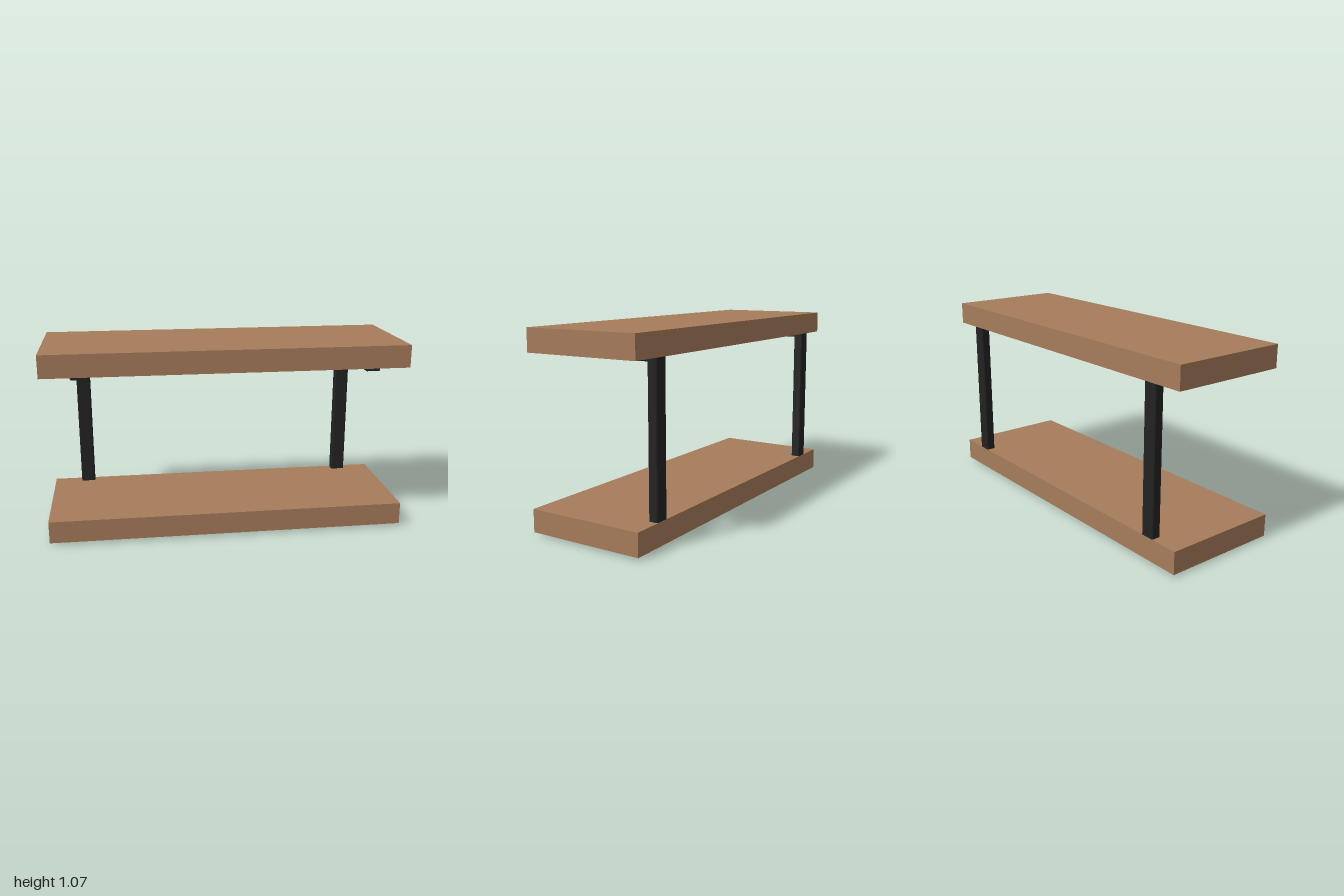
import * as THREE from 'three';

const wood = new THREE.MeshStandardMaterial({ color: 0xa67b5b });
wood.name = 'wood';
const blackSteel = new THREE.MeshStandardMaterial({ color: 0x222222 });
blackSteel.name = 'blackSteel';

// Bar with slightly chamfered long edges, running along z from 0 to length
function barGeometry(width, height, length, c = 0.005) {
  const w = width / 2, h = height / 2;
  const outline = [
    [w - c, -h], [w, -h + c], [w, h - c], [w - c, h],
    [-w + c, h], [-w, h - c], [-w, -h + c], [-w + c, -h],
  ].map(([x, y]) => new THREE.Vector2(x, y));
  return new THREE.ExtrudeGeometry(new THREE.Shape(outline), { depth: length, bevelEnabled: false });
}

function addMesh(parent, name, geometry, material, x, y, z) {
  const mesh = new THREE.Mesh(geometry, material);
  mesh.name = name;
  mesh.position.set(x, y, z);
  parent.add(mesh);
  return mesh;
}

export function createModel() {
  const model = new THREE.Group();
  model.name = 'wallShelf';

  // Two thick boards
  const board = new THREE.BoxGeometry(2, 0.125, 0.667);
  addMesh(model, 'lowerShelf', board, wood, 0, 0.0755, 0);
  addMesh(model, 'upperShelf', board, wood, 0, 1.0045, 0);

  // Brackets: a rear post, and arms let into the underside of each board
  const post = barGeometry(0.08, 0.053, 0.804).rotateX(-Math.PI / 2);
  const lowerArm = barGeometry(0.08, 0.04, 0.6);
  const upperArm = barGeometry(0.08, 0.04, 0.6);
  for (const side of [-1, 1]) {
    const bracket = new THREE.Group();
    bracket.name = side > 0 ? 'leftBracket' : 'rightBracket';
    bracket.position.x = side * 0.8;
    addMesh(bracket, 'post', post, blackSteel, 0, 0.138, -0.3065);
    addMesh(bracket, 'lowerArm', lowerArm, blackSteel, 0, 0.02, -0.3);
    addMesh(bracket, 'upperArm', upperArm, blackSteel, 0, 0.941, -0.3);
    model.add(bracket);
  }
  return model;
}
